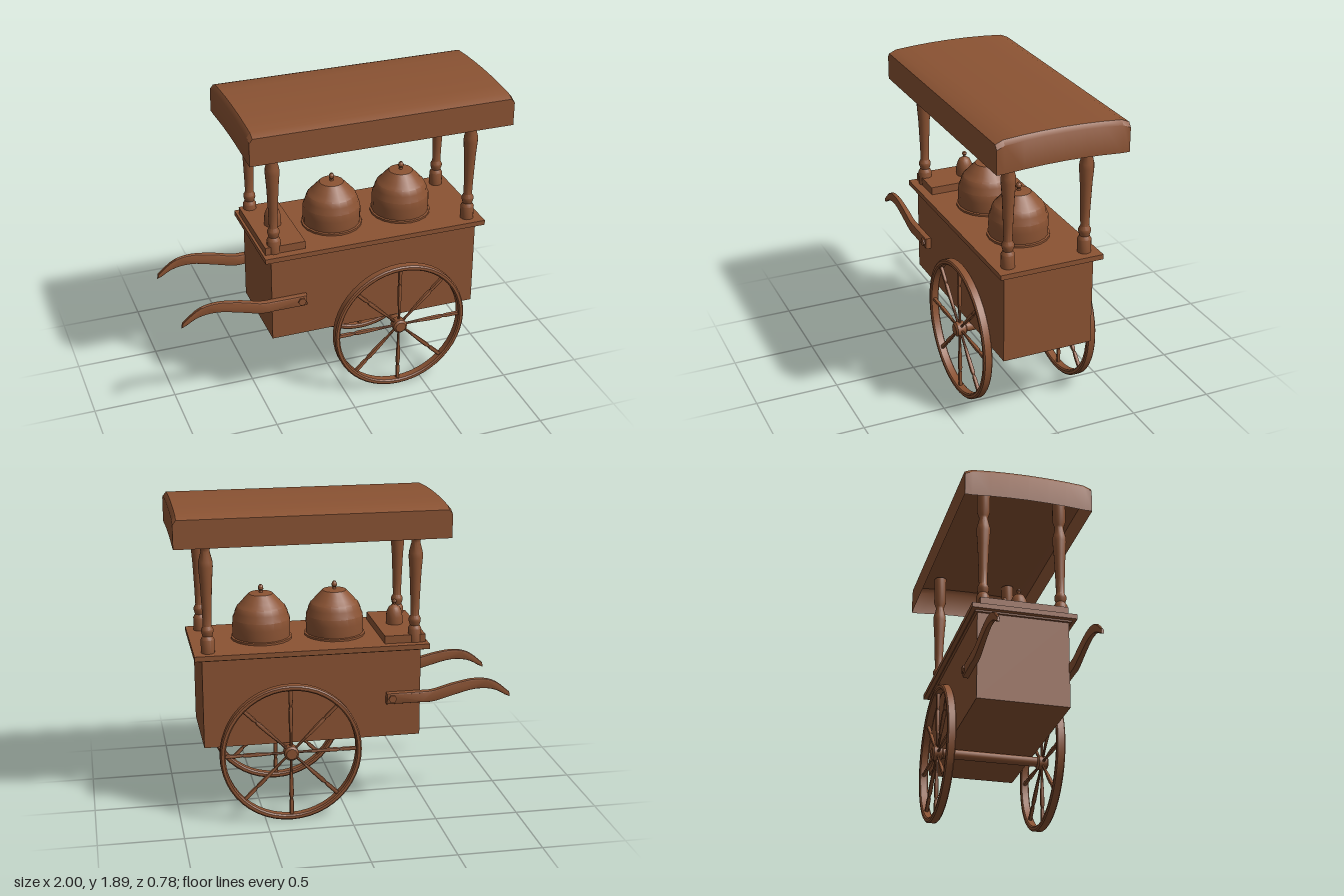
import * as THREE from 'three';
import { toCreasedNormals } from 'three/addons/utils/BufferGeometryUtils.js';

const wood = new THREE.MeshStandardMaterial({ color: 0x8b5333 });
const woodThin = new THREE.MeshStandardMaterial({ color: 0x8b5333, side: THREE.DoubleSide });

function add(parent, name, geometry, x = 0, y = 0, z = 0, material = wood) {
  const mesh = new THREE.Mesh(geometry, material);
  mesh.name = name;
  mesh.position.set(x, y, z);
  parent.add(mesh);
  return mesh;
}

// Box given by its minimum and maximum corners
function slab(parent, name, [x0, y0, z0], [x1, y1, z1]) {
  return add(parent, name, new THREE.BoxGeometry(x1 - x0, y1 - y0, z1 - z0),
    (x0 + x1) / 2, (y0 + y1) / 2, (z0 + z1) / 2);
}

// Turned part from [radius, height] pairs
function turned(profile, sides, crease = 0.6) {
  const points = profile.map(([r, y]) => new THREE.Vector2(r, y));
  return toCreasedNormals(new THREE.LatheGeometry(points, sides), crease);
}

// Hollow roof: a grid whose outer rows drop down as a skirt
function canopyGeometry() {
  const xs = [[-0.59, 0.185], [-0.59, 0.025], [-0.57, 0], [0.2, 0], [0.98, 0], [1, 0.025], [1, 0.185]];
  const half = [[0.39, 0.2], [0.39, 0.035], [0.345, 0.016], [0.23, 0.007], [0.12, 0.002]];
  const zs = [...half.map(([z, d]) => [-z, d]), [0, 0], ...half.slice().reverse()];
  const geo = new THREE.PlaneGeometry(1, 1, xs.length - 1, zs.length - 1);
  const pos = geo.attributes.position;
  for (let i = 0; i < pos.count; i++) {
    const [x, dx] = xs[i % xs.length];
    const [z, dz] = zs[Math.floor(i / xs.length)];
    pos.setXYZ(i, x, 1.89 - Math.min(0.2, dx + dz), z);
  }
  return toCreasedNormals(geo, 0.7);
}

// Curved push handle, slimmer towards the grip
function handleGeometry() {
  const bevel = 0.01;
  const top = [[-0.44, 0.735], [-0.52, 0.738], [-0.64, 0.77], [-0.78, 0.792], [-0.89, 0.772], [-0.985, 0.698]];
  const bottom = [[-0.99, 0.685], [-0.9, 0.735], [-0.78, 0.747], [-0.64, 0.716], [-0.52, 0.685], [-0.44, 0.685]];
  const spline = list => new THREE.SplineCurve(list.map(p => new THREE.Vector2(...p))).getPoints(18);
  const outline = [new THREE.Vector2(-0.245, 0.735), ...spline(top), ...spline(bottom),
    new THREE.Vector2(-0.245, 0.685)];
  const geo = new THREE.ExtrudeGeometry(new THREE.Shape(outline), {
    depth: 0.022, bevelEnabled: true, bevelThickness: bevel, bevelSize: bevel, bevelSegments: 2,
  });
  geo.translate(0, 0, -0.011);
  const pos = geo.attributes.position;
  for (let i = 0; i < pos.count; i++) {
    const t = THREE.MathUtils.clamp((-0.44 - pos.getX(i)) / 0.56, 0, 1);
    pos.setZ(i, pos.getZ(i) * (1 - 0.55 * t));
  }
  return toCreasedNormals(geo, 0.6);
}

// Spoked wheel lying in the xy plane
function createWheel() {
  const wheel = new THREE.Group();
  wheel.name = 'wheel';
  const rim = turned([[0.39, -0.02], [0.398, -0.027], [0.414, -0.027], [0.422, -0.02], [0.422, 0.02],
    [0.414, 0.027], [0.398, 0.027], [0.39, 0.02], [0.39, -0.02]], 48, 0.5);
  add(wheel, 'rim', rim).rotation.x = Math.PI / 2;
  const hub = turned([[0, -0.035], [0.032, -0.035], [0.044, -0.025], [0.044, 0.025], [0.032, 0.035], [0, 0.035]], 16);
  add(wheel, 'hub', hub).rotation.x = Math.PI / 2;
  const spoke = turned([[0.008, 0.03], [0.008, 0.09], [0.013, 0.2], [0.014, 0.27],
    [0.009, 0.29], [0.013, 0.31], [0.013, 0.395]], 8, 1);
  for (let i = 0; i < 8; i++) add(wheel, 'spoke', spoke).rotation.z = i * Math.PI / 4;
  return wheel;
}

export function createModel() {
  const cart = new THREE.Group();
  cart.name = 'vendingCart';

  // Body and counter
  slab(cart, 'body', [-0.445, 0.465, -0.275], [0.85, 1.005, 0.275]);
  slab(cart, 'counterMoulding', [-0.46, 1.0, -0.29], [0.87, 1.012, 0.29]);
  slab(cart, 'counter', [-0.49, 1.01, -0.315], [0.895, 1.04, 0.315]);
  slab(cart, 'tray', [-0.475, 1.04, -0.265], [-0.23, 1.087, 0.265]);

  // Roof on four turned posts
  add(cart, 'canopy', canopyGeometry(), 0, 0, 0, woodThin);
  const post = turned([[0, 1.035], [0.04, 1.035], [0.04, 1.12], [0.028, 1.14], [0.036, 1.165], [0.036, 1.18],
    [0.025, 1.2], [0.028, 1.3], [0.035, 1.46], [0.042, 1.55], [0.041, 1.58], [0.026, 1.64],
    [0.028, 1.655], [0.04, 1.69], [0.04, 1.865], [0, 1.865]], 16);
  for (const x of [-0.415, 0.81])
    for (const z of [-0.235, 0.235]) add(cart, 'post', post, x, 0, z);

  // Two large domed pots with knobs
  const pot = turned([[0, 1.035], [0.183, 1.035], [0.183, 1.052], [0.172, 1.055], [0.174, 1.12], [0.172, 1.165],
    [0.162, 1.185], [0.158, 1.205], [0.144, 1.235], [0.132, 1.245], [0.114, 1.267], [0.1, 1.282],
    [0.072, 1.312], [0.012, 1.318], [0.01, 1.328], [0.016, 1.338], [0.015, 1.352], [0.008, 1.364], [0, 1.366]], 20, 0.45);
  for (const x of [0.022, 0.465]) add(cart, 'pot', pot, x, 0, 0.01);

  // Small covered jar on the tray
  const jar = turned([[0, 1.08], [0.051, 1.08], [0.051, 1.13], [0.046, 1.16], [0.034, 1.188], [0.016, 1.2],
    [0.008, 1.205], [0.008, 1.211], [0.015, 1.222], [0.011, 1.234], [0, 1.239]], 16);
  add(cart, 'jar', jar, -0.345, 0, 0);

  // Axle and wheels
  const axle = new THREE.CylinderGeometry(0.03, 0.03, 0.7, 16);
  add(cart, 'axle', axle, 0.345, 0.427, 0).rotation.x = Math.PI / 2;
  for (const side of [-1, 1]) {
    const wheel = createWheel();
    wheel.position.set(0.345, 0.423, side * 0.33);
    cart.add(wheel);
  }

  // Push handles with hexagonal bolts
  const handle = handleGeometry();
  const bolt = new THREE.CylinderGeometry(0.025, 0.025, 0.012, 6).toNonIndexed();
  bolt.computeVertexNormals();
  for (const side of [-1, 1]) {
    add(cart, 'handle', handle, 0, 0, side * 0.29);
    const head = add(cart, 'handleBolt', bolt, -0.27, 0.71, side * 0.314);
    head.rotation.set(Math.PI / 2, Math.PI / 6, 0);
  }
  return cart;
}
